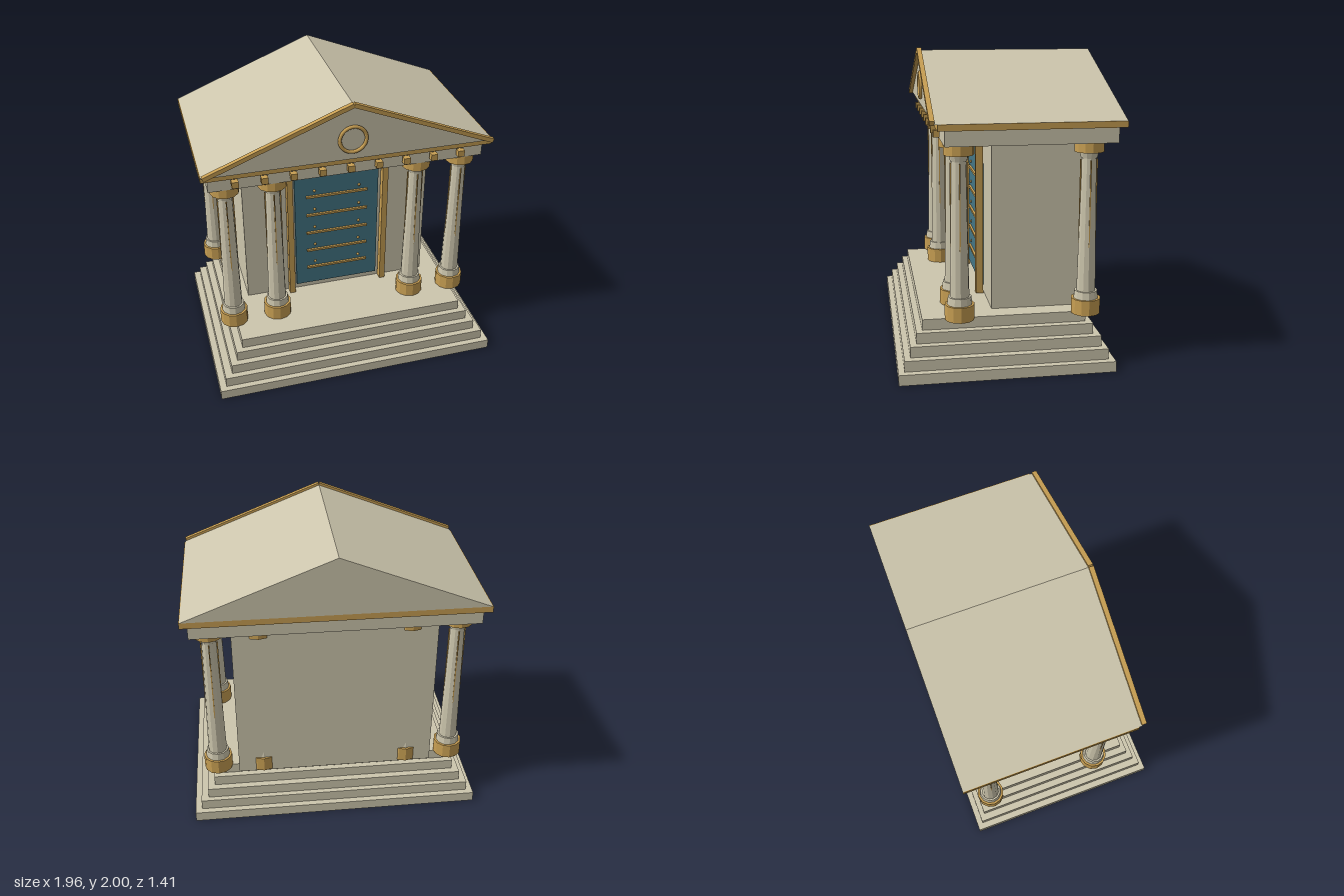
import * as THREE from 'three';

function material(name, color) {
  const m = new THREE.MeshStandardMaterial({ color });
  m.name = name;
  return m;
}

export function createModel() {
  const stone = material('stone', 0xcdc6ad);
  const gold = material('gold', 0xc89f53);
  const blue = material('doorBlue', 0x447685);
  const model = new THREE.Group();
  model.name = 'temple';

  function add(parent, name, geometry, mat, x = 0, y = 0, z = 0) {
    const mesh = new THREE.Mesh(geometry, mat);
    mesh.name = name;
    mesh.position.set(x, y, z);
    parent.add(mesh);
    return mesh;
  }
  // Box given by its limits on each axis
  function box(parent, name, mat, x0, x1, y0, y1, z0, z1) {
    return add(parent, name, new THREE.BoxGeometry(x1 - x0, y1 - y0, z1 - z0), mat,
      (x0 + x1) / 2, (y0 + y1) / 2, (z0 + z1) / 2);
  }
  // Faceted drum between two heights
  function drum(parent, name, mat, rTop, rBottom, y0, y1) {
    const g = new THREE.CylinderGeometry(rTop, rBottom, y1 - y0, 12).toNonIndexed();
    g.computeVertexNormals();
    return add(parent, name, g, mat, 0, (y0 + y1) / 2, 0);
  }

  // Stepped platform
  const steps = [
    [0.98, -0.675, 0.705], [0.935, -0.635, 0.665], [0.885, -0.6, 0.625],
    [0.838, -0.555, 0.582], [0.79, -0.515, 0.542],
  ];
  steps.forEach(([x, z0, z1], i) =>
    box(model, 'step', stone, -x, x, i * 0.07, (i + 1) * 0.07, z0, z1));

  // Inner chamber
  box(model, 'chamber', stone, -0.66, 0.66, 0.34, 1.425, -0.585, 0.08);

  // Columns, front and back rows
  for (const z of [0.305, -0.51]) {
    for (const x of [-0.8, -0.49, 0.49, 0.8]) {
      const column = new THREE.Group();
      column.name = 'column';
      column.position.set(x, 0, z);
      drum(column, 'columnBase', gold, 0.095, 0.095, 0.35, 0.45);
      drum(column, 'baseRing', stone, 0.074, 0.08, 0.45, 0.5);
      drum(column, 'shaft', stone, 0.046, 0.062, 0.5, 1.4);
      drum(column, 'neck', stone, 0.062, 0.052, 1.36, 1.4);
      drum(column, 'capital', gold, 0.095, 0.095, 1.4, 1.465);
      // Thin inlays that emerge as the shaft tapers
      for (let k = 0; k < 4; k++) {
        const a = k * Math.PI / 2;
        const inlay = add(column, 'inlay', new THREE.BoxGeometry(0.007, 0.75, 0.008), gold,
          Math.sin(a) * 0.052, 0.975, Math.cos(a) * 0.052);
        inlay.rotation.y = a;
      }
      model.add(column);
    }
  }

  // Door with bars and studs
  const door = new THREE.Group();
  door.name = 'door';
  box(door, 'doorPanel', blue, -0.3, 0.3, 0.395, 1.375, 0.075, 0.1);
  for (let i = 0; i < 5; i++) {
    const y = 0.538 + i * 0.149;
    box(door, 'doorBar', gold, -0.22, 0.22, y - 0.008, y + 0.008, 0.09, 0.115);
    for (const x of [-0.16, 0.16]) {
      add(door, 'doorStud', new THREE.SphereGeometry(0.01, 8, 6), gold, x, y + 0.043, 0.102);
    }
  }
  for (const s of [-1, 1]) {
    add(door, 'doorPost', new THREE.BoxGeometry(0.04, 1.02, 0.05), gold, s * 0.34, 0.865, 0.115);
  }
  box(door, 'lintel', gold, -0.365, 0.365, 1.373, 1.415, 0.085, 0.145);
  model.add(door);

  // Entablature, dentils and cornice
  box(model, 'entablature', stone, -0.915, 0.915, 1.465, 1.565, -0.665, 0.4);
  for (let i = -4; i <= 4; i++) {
    add(model, 'dentil', new THREE.BoxGeometry(0.044, 0.044, 0.04), gold, i * 0.187, 1.523, 0.435);
  }
  box(model, 'cornice', gold, -0.96, 0.96, 1.565, 1.605, -0.705, 0.445);

  // Gabled roof
  const gable = new THREE.Shape();
  gable.moveTo(-0.955, 1.605);
  gable.lineTo(0.955, 1.605);
  gable.lineTo(0, 1.985);
  gable.closePath();
  add(model, 'roof', new THREE.ExtrudeGeometry(gable, { depth: 1.17, bevelEnabled: false }),
    stone, 0, 0, -0.705);

  // Gold trim along the front slopes
  const rise = 0.376, run = 0.948;
  for (const s of [-1, 1]) {
    const trim = add(model, 'gableTrim',
      new THREE.BoxGeometry(Math.hypot(rise, run), 0.028, 0.032), gold,
      s * run / 2, 1.611 + rise / 2, 0.477);
    trim.rotation.z = -s * Math.atan2(rise, run);
  }

  // Round ornament in the pediment
  add(model, 'pedimentRing', new THREE.TorusGeometry(0.087, 0.012, 8, 32), gold, 0, 1.748, 0.474);

  return model;
}
